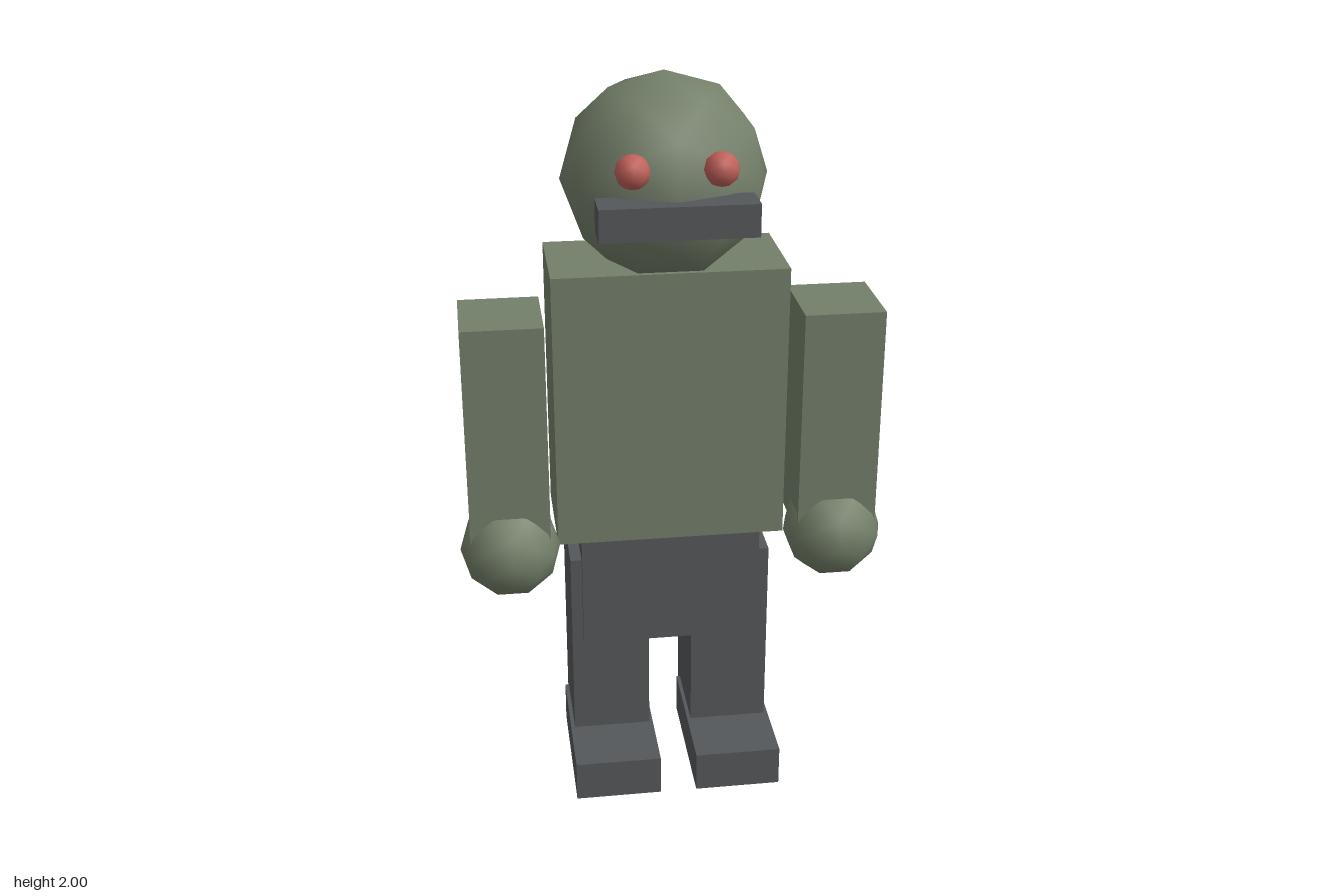
import * as THREE from 'three';

export function createModel() {
  const model = new THREE.Group();
  model.name = 'blockyFigure';

  const makeMaterial = (name, color) => {
    const m = new THREE.MeshStandardMaterial({ color });
    m.name = name;
    return m;
  };
  const skin = makeMaterial('mossGreen', 0x74806a);
  const cloth = makeMaterial('darkGrey', 0x55585a);
  const eyeRed = makeMaterial('eyeRed', 0xc0605a);

  const add = (name, geometry, material, x, y, z) => {
    const mesh = new THREE.Mesh(geometry, material);
    mesh.name = name;
    mesh.position.set(x, y, z);
    model.add(mesh);
  };
  // Box given by its limits on each axis
  const box = (name, material, [x0, x1], [y0, y1], [z0, z1]) =>
    add(name, new THREE.BoxGeometry(x1 - x0, y1 - y0, z1 - z0), material,
      (x0 + x1) / 2, (y0 + y1) / 2, (z0 + z1) / 2);
  // Faceted ball (its normals are already flat)
  const ball = (name, material, radius, x, y, z) =>
    add(name, new THREE.IcosahedronGeometry(radius, 1), material, x, y, z);

  // Head, mouth and trunk
  ball('head', skin, 0.272, 0, 1.728, -0.023);
  box('mouth', cloth, [-0.2, 0.2], [1.648, 1.733], [0.183, 0.285]);
  box('torso', skin, [-0.312, 0.312], [0.743, 1.51], [-0.176, 0.13]);
  box('pelvis', cloth, [-0.248, 0.248], [0.42, 0.743], [-0.168, 0.126]);

  // Paired parts
  for (const [side, s] of [['left', 1], ['right', -1]]) {
    const span = (a, b) => (s > 0 ? [a, b] : [-b, -a]);
    ball(side + 'Eye', eyeRed, 0.045, s * 0.11, 1.808, 0.228);
    box(side + 'Arm', skin, span(0.336, 0.55), [0.772, 1.41], [-0.023, 0.214]);
    ball(side + 'Hand', skin, 0.135, s * 0.443, 0.762, 0.156);
    box(side + 'Leg', cloth, span(0.061, 0.279), [0, 0.678], [-0.153, 0.109]);
    box(side + 'Foot', cloth, span(0.051, 0.29), [0.01, 0.125], [-0.116, 0.293]);
  }
  return model;
}
